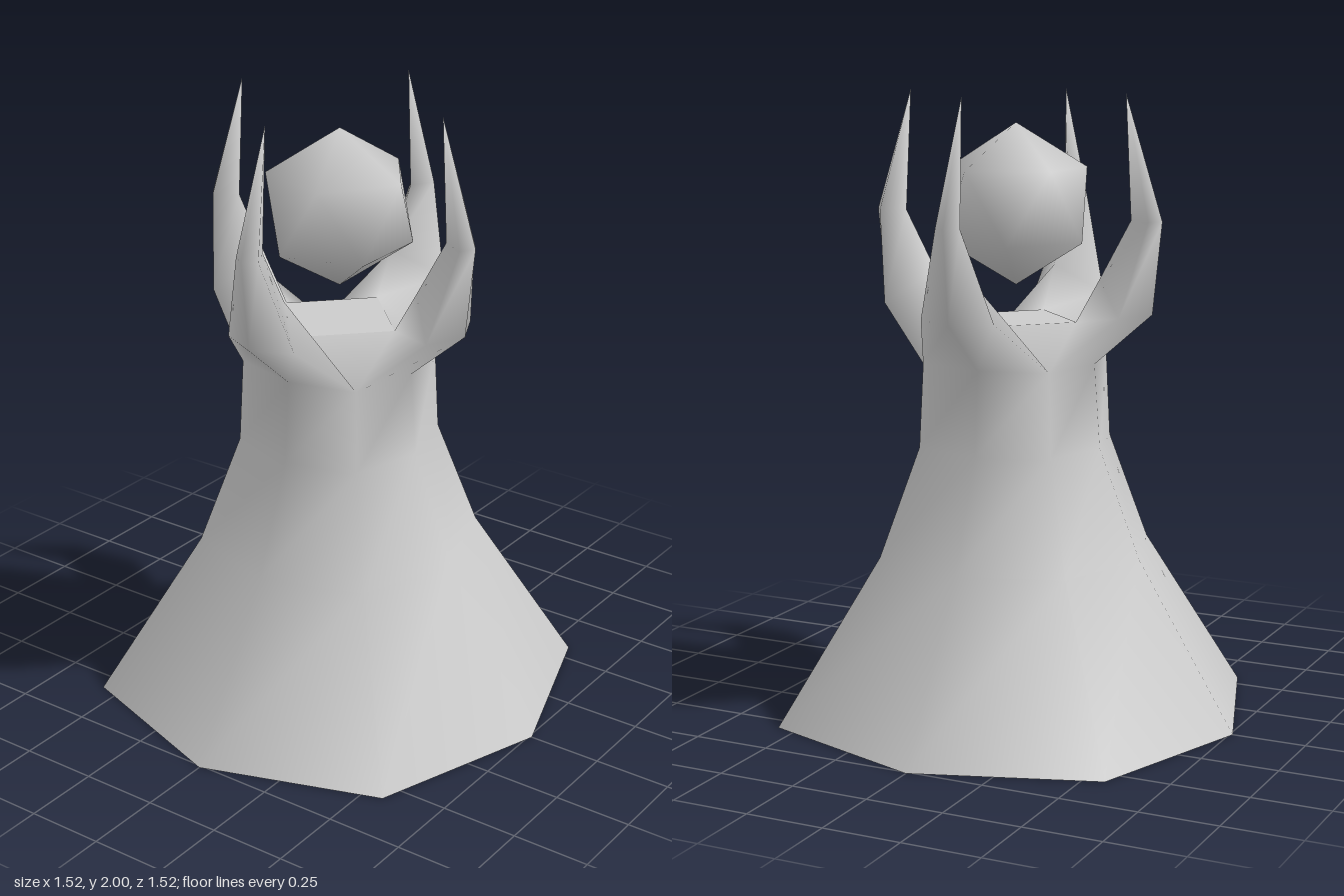
import * as THREE from 'three';
import { mergeVertices } from 'three/addons/utils/BufferGeometryUtils.js';

const material = new THREE.MeshStandardMaterial({ color: 0xcccccc, side: THREE.DoubleSide });

function smoothGeometry(positions, indices) {
  const g = new THREE.BufferGeometry();
  g.setAttribute('position', new THREE.Float32BufferAttribute(positions, 3));
  g.setIndex(indices);
  g.computeVertexNormals();
  return g;
}

// Skirted eight-sided tower whose top ring grows into four pointed claws
function towerGeometry() {
  const pos = [], idx = [];
  const add = (x, y, z) => pos.push(x, y, z) / 3 - 1;
  // point given by sideways offset s and outward distance r, turned to claw p
  const addTurned = (p, s, y, r) => {
    const c = Math.cos(p * Math.PI / 2), n = Math.sin(p * Math.PI / 2);
    return add(s * c + r * n, y, r * c - s * n);
  };
  const bridge = (low, high) => low.forEach((a, i) => {
    const j = (i + 1) % low.length;
    idx.push(a, low[j], high[j], a, high[j], high[i]);
  });

  // [height, distance on the axes, x and z of the diagonal corners]
  const rings = [
    [0, 0.76, 0.567], [0.53, 0.435, 0.325], [0.88, 0.295, 0.23], [1.15, 0.275, 0.22],
  ].map(([y, r, d]) => {
    const ring = [];
    for (let p = 0; p < 4; p++) ring.push(addTurned(p, 0, y, r), addTurned(p, d, y, d));
    return ring;
  });
  for (let i = 0; i < 3; i++) bridge(rings[i], rings[i + 1]);

  // Claws: diamond sections of outer, side, inner, side
  const top = rings[3], inner = [];
  for (let p = 0; p < 4; p++) inner.push(addTurned(p, 0, 1.28, 0.21));
  for (let p = 0; p < 4; p++) {
    const base = [top[2 * p], top[2 * p + 1], inner[p], top[(2 * p + 7) % 8]];
    const section = (outer, side, inside) => [
      addTurned(p, 0, ...outer), addTurned(p, side[0], side[1], side[2]),
      addTurned(p, 0, ...inside), addTurned(p, -side[0], side[1], side[2]),
    ];
    const elbow = section([1.32, 0.47], [0.125, 1.32, 0.41], [1.42, 0.29]);
    const wrist = section([1.61, 0.5], [0.042, 1.61, 0.47], [1.61, 0.395]);
    const tip = addTurned(p, 0, 2, 0.375);
    bridge(base, elbow);
    bridge(elbow, wrist);
    wrist.forEach((a, i) => idx.push(a, wrist[(i + 1) % 4], tip));
    // saddle between neighbouring claws
    idx.push(top[2 * p + 1], inner[(p + 1) % 4], inner[p]);
  }
  return smoothGeometry(pos, idx);
}

// Twenty-sided ball with a corner straight up
function orbGeometry(radius) {
  const g = new THREE.IcosahedronGeometry(radius, 0);
  g.deleteAttribute('normal');
  g.deleteAttribute('uv');
  const merged = mergeVertices(g);
  merged.rotateZ(-Math.atan(2 / (1 + Math.sqrt(5))));
  merged.computeVertexNormals();
  return merged;
}

export function createModel() {
  const group = new THREE.Group();
  const part = (name, geometry) => {
    const mesh = new THREE.Mesh(geometry, material);
    mesh.name = name;
    group.add(mesh);
    return mesh;
  };

  part('towerWithClaws', towerGeometry());

  // Flat square platform between the claws
  const s = 0.21, y = 1.28;
  part('platform', smoothGeometry(
    [0, y, s, s, y, 0, 0, y, -s, -s, y, 0], [0, 1, 2, 0, 2, 3]));

  // Ball floating between the claws
  part('orb', orbGeometry(0.257)).position.y = 1.645;

  return group;
}
